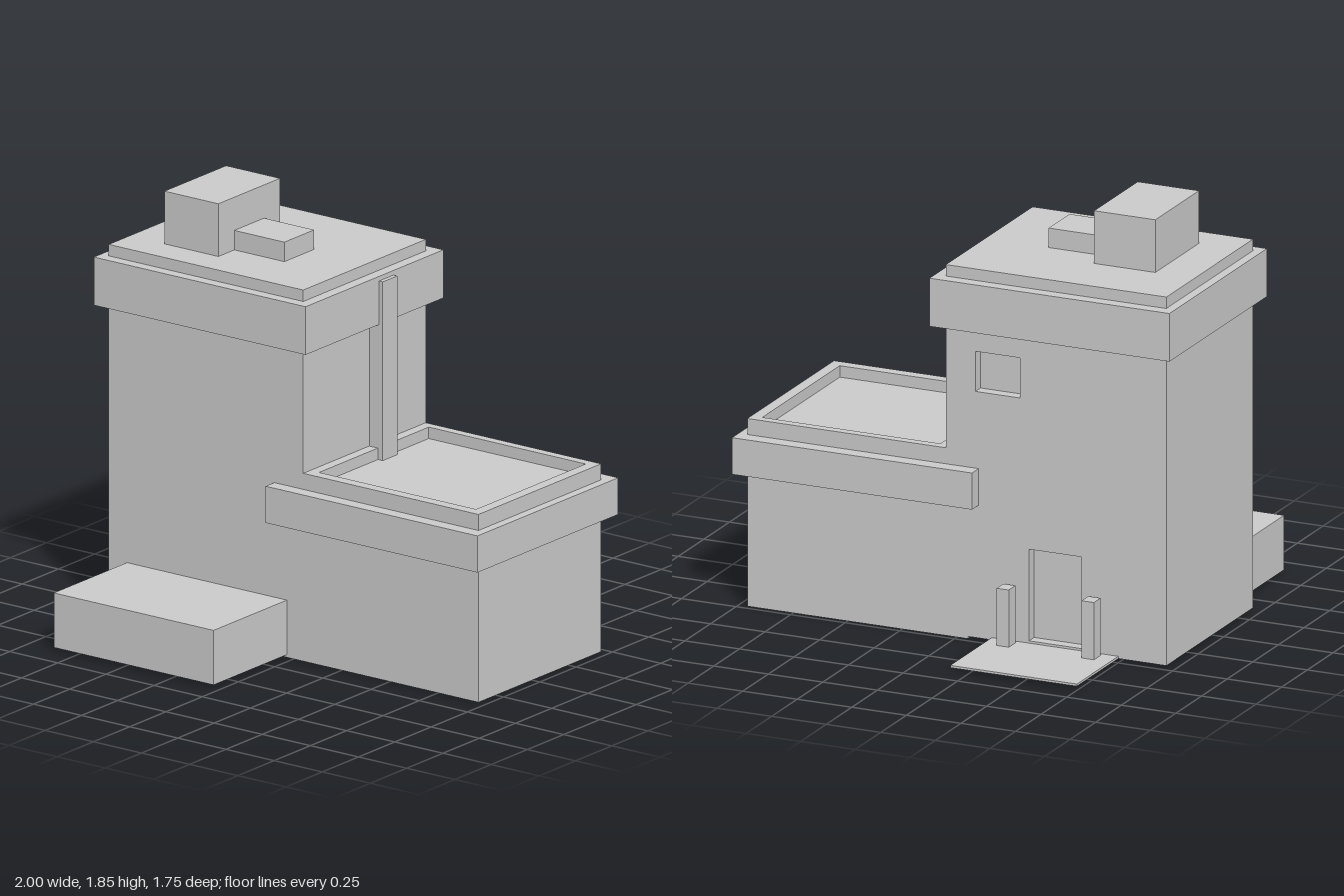
import * as THREE from 'three';

const material = new THREE.MeshStandardMaterial({ color: 0xcccccc, flatShading: true });

export function createModel() {
  const model = new THREE.Group();

  const add = (name, geometry) => {
    const mesh = new THREE.Mesh(geometry, material);
    mesh.name = name;
    model.add(mesh);
    return mesh;
  };

  // Box given by its limits on each axis
  const box = (name, [x0, x1], [y0, y1], [z0, z1]) =>
    add(name, new THREE.BoxGeometry(x1 - x0, y1 - y0, z1 - z0))
      .position.set((x0 + x1) / 2, (y0 + y1) / 2, (z0 + z1) / 2);

  const polygon = (points) => new THREE.Shape(points.map(([x, y]) => new THREE.Vector2(x, y)));
  const rect = (x0, x1, y0, y1) => polygon([[x0, y0], [x1, y0], [x1, y1], [x0, y1]]);
  const extrude = (shape, depth) => new THREE.ExtrudeGeometry(shape, { depth, bevelEnabled: false });

  // Tower and low wing share one L-shaped outline
  const roofFloor = 0.77;
  const outline = (wingTop) => polygon([
    [-0.96, 0.01], [-0.05, 0.01], [-0.05, 0], [0.96, 0],
    [0.96, wingTop], [0.05, wingTop], [0.05, 1.62], [-0.96, 1.62],
  ]);
  add('building', extrude(outline(roofFloor), 0.795)).position.z = -0.425;

  // Rear wall, pierced by the door and window recesses
  const rear = outline(roofFloor);
  rear.holes.push(rect(-0.57, -0.33, 0.03, 0.43), rect(-0.29, -0.085, 1.085, 1.26));
  add('rearWall', extrude(rear, 0.05)).position.z = -0.475;

  // Parapet around the sunken wing roof
  const parapet = rect(0.05, 0.96, -0.37, 0.475);
  parapet.holes.push(rect(0.095, 0.91, -0.32, 0.435));
  const parapetMesh = add('wingParapet', extrude(parapet, 0.05));
  parapetMesh.rotation.x = -Math.PI / 2;
  parapetMesh.position.y = roofFloor;

  // Projecting bands
  box('towerBand', [-1, 0.1], [1.36, 1.57], [-0.53, 0.42]);
  box('wingBand', [-0.1, 1], [0.59, 0.75], [-0.54, 0.43]);

  // Rooftop boxes and the flue on the tower side
  box('roofHousing', [-0.78, -0.5], [1.62, 1.85], [-0.2, 0.225]);
  box('roofUnit', [-0.5, -0.24], [1.62, 1.705], [-0.09, 0.115]);
  box('flue', [0.05, 0.12], [roofFloor, 1.55], [-0.185, -0.085]);

  // Front annex
  box('frontAnnex', [-0.865, -0.035], [0.012, 0.25], [0.37, 0.875]);

  // Rear entrance slab with a post on each side of the door
  box('entranceSlab', [-0.74, -0.16], [0.01, 0.02], [-0.88, -0.475]);
  for (const x of [-0.64, -0.25]) {
    box('entrancePost', [x - 0.028, x + 0.028], [0.02, 0.27], [-0.56, -0.495]);
  }

  return model;
}
